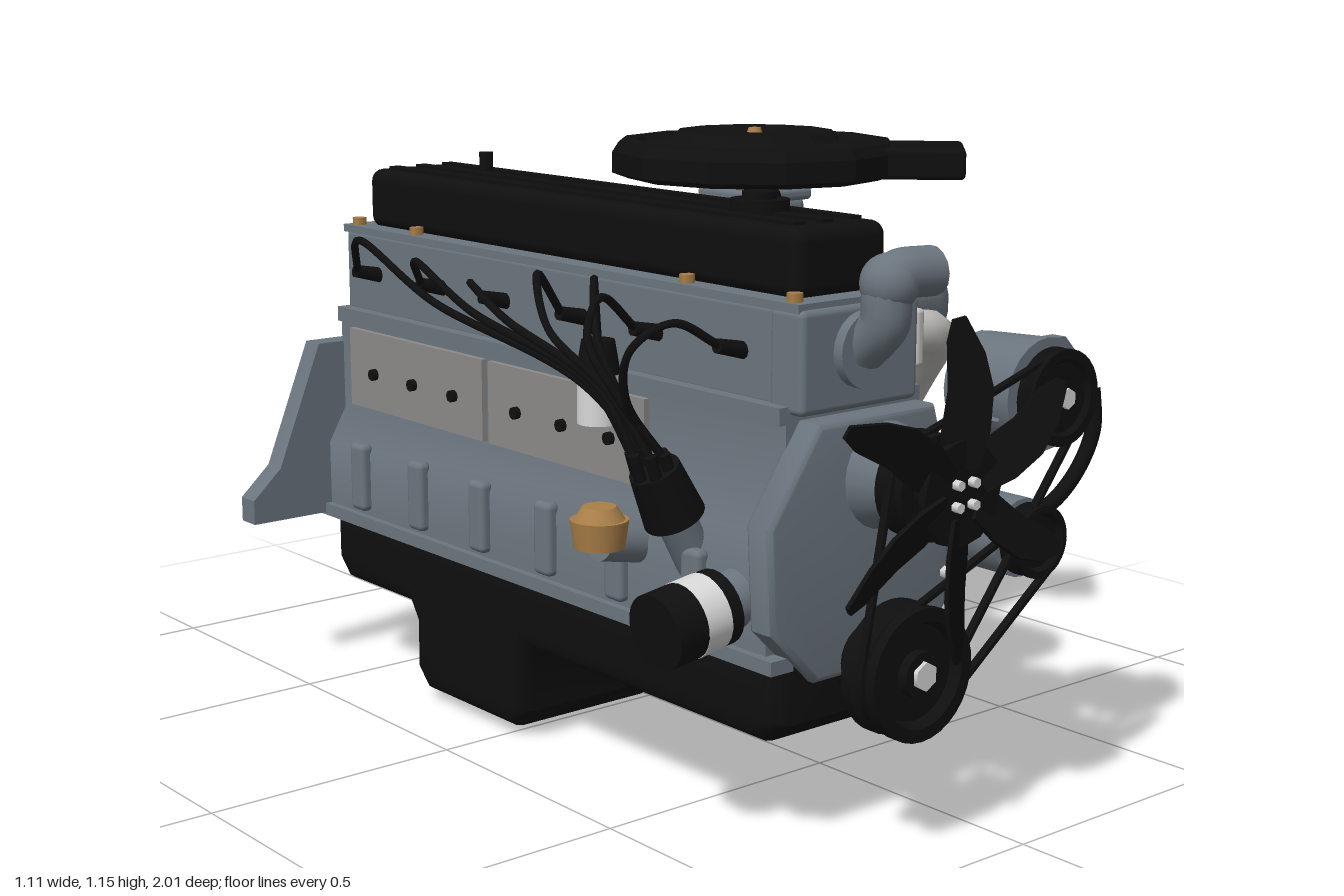
import * as THREE from 'three';
import { toCreasedNormals } from 'three/addons/utils/BufferGeometryUtils.js';
import { RoundedBoxGeometry } from 'three/addons/geometries/RoundedBoxGeometry.js';

const mat = (name, color) => Object.assign(new THREE.MeshStandardMaterial({ color }), { name });
const V = (p) => new THREE.Vector3(...p);

export function createModel() {
  const root = new THREE.Group();
  root.name = 'engine';
  const grey = mat('cast grey', 0x6b757e);
  const steel = mat('header steel', 0xbebdba);
  const panel = mat('side cover grey', 0x8d8b88);
  const black = mat('black', 0x0f0f0f);
  const brass = mat('brass', 0xaa7f48);
  const silver = mat('silver', 0xd8d8d8);

  const add = (name, geo, m, pos = [0, 0, 0], rot = [0, 0, 0]) => {
    const mesh = new THREE.Mesh(geo, m);
    mesh.name = name;
    mesh.position.set(...pos);
    mesh.rotation.set(...rot);
    root.add(mesh);
    return mesh;
  };
  // box from minimum and maximum corners
  const box = (name, m, a, b, r = 0) => {
    const s = a.map((v, i) => b[i] - v), c = a.map((v, i) => (b[i] + v) / 2);
    return add(name, r ? new RoundedBoxGeometry(...s, 3, r) : new THREE.BoxGeometry(...s), m, c);
  };
  // cylinder or cone between two points
  const rod = (name, m, a, b, r1, r2 = r1, seg = 24) => {
    const d = V(b).sub(V(a));
    const mesh = add(name, new THREE.CylinderGeometry(r2, r1, d.length(), seg), m);
    mesh.position.copy(V(a)).addScaledVector(d, 0.5);
    mesh.quaternion.setFromUnitVectors(new THREE.Vector3(0, 1, 0), d.normalize());
    return mesh;
  };
  const pipe = (name, m, pts, r, seg = 14) =>
    add(name, new THREE.TubeGeometry(new THREE.CatmullRomCurve3(pts.map(V)), 48, r, seg), m);
  // centred extrusion of an outline, optionally with an inset bevel and a hole
  const slab = (pts, depth, bevel = 0, hole) => {
    const s = new THREE.Shape(pts.map((p) => new THREE.Vector2(...p)));
    if (hole) s.holes.push(new THREE.Path(hole.map((p) => new THREE.Vector2(...p))));
    const g = new THREE.ExtrudeGeometry(s, {
      depth: depth - 2 * bevel, bevelEnabled: bevel > 0, bevelSize: bevel,
      bevelThickness: bevel, bevelOffset: -bevel, bevelSegments: 4,
    });
    g.translate(0, 0, bevel - depth / 2);
    return toCreasedNormals(g, 0.7);
  };

  // block, rear flange and front cover
  add('block', slab([[-0.37, 0.33], [0, 0.33], [0, 0.5], [-0.035, 0.56], [-0.035, 0.76], [-0.33, 0.76],
    [-0.33, 0.55], [-0.37, 0.48]], 1.36), grey, [0, 0, 0.07]);
  add('rearFlange', slab([[-0.555, 0.33], [0.18, 0.33], [0.18, 0.38], [0.12, 0.44], [0.02, 0.69],
    [-0.39, 0.69], [-0.49, 0.44], [-0.555, 0.38]], 0.05), grey, [0, 0, -0.63]);
  add('frontCover', slab([[-0.3, 0.3], [-0.06, 0.3], [0.01, 0.38], [0.02, 0.58], [-0.03, 0.74],
    [-0.3, 0.74], [-0.41, 0.58], [-0.4, 0.4]], 0.06, 0.012), grey, [0, 0, 0.77]);
  rod('rearCamPlug', brass, [-0.19, 0.59, -0.65], [-0.19, 0.59, -0.66], 0.055);
  rod('rearCrankPlug', panel, [-0.31, 0.47, -0.65], [-0.31, 0.47, -0.66], 0.045);
  for (const [x, y] of [[0.14, 0.36], [0.08, 0.48], [0.01, 0.65], [-0.38, 0.65], [-0.45, 0.48], [-0.51, 0.36]])
    rod('flangeBolt', black, [x, y, -0.65], [x, y, -0.659], 0.012, 0.012, 8);
  box('deckRail', grey, [-0.345, 0.735, -0.6], [-0.02, 0.765, 0.75]);
  box('panRail', grey, [-0.385, 0.325, -0.62], [0.012, 0.35, 0.78]);
  for (const z of [0.53, 0.09, -0.35]) {
    rod('corePlug', brass, [-0.04, 0.625, z], [-0.025, 0.625, z], 0.036);
    for (const s of [-1, 1]) box('blockRib', grey, [-0.04, 0.45, z + s * 0.1 - 0.012], [-0.01, 0.73, z + s * 0.1 + 0.012], 0.008);
    box('blockBoss', grey, [-0.04, 0.69, z - 0.1], [-0.015, 0.72, z + 0.1], 0.008);
  }
  // left side covers with bolts, lower bosses
  for (const [a, b] of [[-0.56, -0.09], [-0.07, 0.4]]) {
    box('sideCover', panel, [-0.342, 0.565, a], [-0.325, 0.725, b]);
    for (const t of [0.2, 0.5, 0.8]) {
      const z = a + (b - a) * t;
      rod('coverBolt', black, [-0.34, 0.64, z], [-0.353, 0.64, z], 0.012, 0.012, 8);
    }
  }
  for (let i = 0; i < 6; i++) box('lowerBoss', grey, [-0.39, 0.36, -0.5 + i * 0.21], [-0.36, 0.5, -0.45 + i * 0.21], 0.012);

  // cylinder head and valve cover
  box('head', grey, [-0.32, 0.755, -0.6], [-0.05, 0.925, 0.74], 0.012);
  box('headFront', grey, [-0.325, 0.75, 0.7], [-0.055, 0.925, 0.78], 0.012);
  box('coverFlange', grey, [-0.325, 0.92, -0.6], [-0.035, 0.935, 0.77]);
  for (const x of [-0.305, -0.065]) for (const z of [0.74, 0.47, -0.36, -0.57])
    rod('headBolt', brass, [x, 0.93, z], [x, 0.95, z], 0.014, 0.014, 6);
  box('valveCover', black, [-0.29, 0.93, -0.56], [-0.08, 1.05, 0.73], 0.025);
  for (const x of [-0.25, -0.185, -0.12]) box('valveCoverRib', black, [x - 0.012, 1.04, -0.52], [x + 0.012, 1.056, 0.69]);
  rod('fillerCap', black, [-0.185, 1.04, 0.52], [-0.185, 1.075, 0.52], 0.052);
  rod('fillerKnob', black, [-0.185, 1.07, 0.52], [-0.185, 1.088, 0.52], 0.03);
  rod('breatherValve', black, [-0.14, 1.04, -0.35], [-0.14, 1.09, -0.35], 0.014);
  pipe('breatherHose', black, [[-0.12, 0.99, 0.3], [-0.05, 1.0, 0.3], [0.03, 1.02, 0.28], [0.14, 1.03, 0.2]], 0.016);

  // oil pan with deep sump, outline given as z and y
  const pan = slab([[0.78, 0.34], [-0.6, 0.34], [-0.6, 0.23], [-0.56, 0.19], [-0.33, 0.19], [-0.31, 0.16],
    [-0.31, 0.06], [-0.27, 0.02], [0.02, 0.02], [0.06, 0.06], [0.06, 0.16], [0.08, 0.19], [0.73, 0.19], [0.78, 0.23]], 0.365, 0.035);
  add('oilPan', pan, black, [-0.187, 0, 0], [0, -Math.PI / 2, 0]);

  // intake manifold: one long log with three runners, outline given as x and z
  const log = slab([[-0.06, -0.43], [0.16, -0.43], [0.23, -0.4], [0.275, -0.33], [0.28, 0.5], [0.25, 0.56], [0.19, 0.595],
    [-0.06, 0.595], [-0.06, 0.45], [0.08, 0.45], [0.12, 0.41], [0.12, 0.15], [-0.06, 0.15], [-0.06, 0.01],
    [0.12, 0.01], [0.12, -0.25], [0.08, -0.29], [-0.06, -0.29]], 0.1, 0.035);
  add('intakeManifold', log, grey, [0, 0.855, 0], [Math.PI / 2, 0, 0]);
  rod('carburettorBase', grey, [0.195, 0.83, 0.09], [0.195, 0.94, 0.09], 0.09, 0.075);

  // carburettor
  box('carburettorFlange', grey, [0.11, 0.925, 0], [0.28, 0.945, 0.18], 0.008);
  box('carburettorBody', grey, [0.125, 0.94, 0.02], [0.265, 1.02, 0.165], 0.02);
  box('carburettorTop', grey, [0.11, 1.01, 0.01], [0.275, 1.035, 0.17], 0.01);
  rod('airHorn', grey, [0.195, 1.03, 0.09], [0.195, 1.07, 0.09], 0.07);
  rod('throttleShaft', black, [0.25, 0.955, 0.09], [0.305, 0.955, 0.09], 0.012);
  for (const s of [-1, 1]) rod('floatBowl', grey, [0.195 + s * 0.04, 0.96, 0.15], [0.195 + s * 0.04, 0.96, 0.185], 0.03);
  rod('fuelFitting', brass, [0.195, 0.98, 0.16], [0.195, 0.98, 0.185], 0.013, 0.013, 6);

  // air cleaner with snorkel
  const profile = [[0, 1.05], [0.25, 1.053], [0.283, 1.065], [0.283, 1.105], [0.27, 1.125], [0.235, 1.128],
    [0.225, 1.12], [0.17, 1.128], [0.155, 1.143], [0.05, 1.143], [0.03, 1.136], [0, 1.136]];
  add('airCleaner', toCreasedNormals(new THREE.LatheGeometry(profile.map((p) => new THREE.Vector2(...p)), 12), 0.3),
    black, [0.2, 0, 0.08]);
  add('airCleanerSnorkel', new RoundedBoxGeometry(0.21, 0.06, 0.19, 2, 0.01), black, [0.415, 1.088, 0.295], [0, -Math.PI / 4, 0]);
  rod('wingNut', brass, [0.2, 1.13, 0.08], [0.2, 1.149, 0.08], 0.018, 0.012, 8);

  // exhaust headers: three tubes into each collector
  const inner = (z, d) => [[-0.05, 0.78, z], [0.08, 0.78, z], [0.15, 0.72, z], [0.165, 0.6, z - 0.01], [0.185, 0.5, z - 0.11], [0.28, 0.18, d]];
  const outer = (z, d) => [[-0.05, 0.78, z], [0.12, 0.78, z], [0.2, 0.72, z], [0.215, 0.61, z - 0.02], [0.23, 0.515, z - 0.12], [0.29, 0.2, d]];
  const tubes = [
    [[-0.05, 0.85, 0.72], [0.05, 0.84, 0.71], [0.11, 0.76, 0.62], [0.14, 0.58, 0.46], [0.17, 0.46, 0.24], [0.27, 0.17, -0.33]],
    inner(0.34, -0.35), outer(0.26, -0.36), inner(-0.1, -0.78), outer(-0.17, -0.8),
    [[-0.05, 0.85, -0.53], [0.16, 0.85, -0.53], [0.24, 0.81, -0.53], [0.255, 0.62, -0.5], [0.26, 0.42, -0.49], [0.27, 0.32, -0.55], [0.29, 0.19, -0.76]],
  ];
  for (const t of tubes) {
    pipe('headerTube', steel, t, 0.039);
    const [, y, z] = t[0];
    box('headerFlange', steel, [-0.05, y - 0.05, z - 0.05], [-0.03, y + 0.05, z + 0.05], 0.008);
  }
  for (const d of [0, -0.455]) {
    rod('collector', steel, [0.272, 0.2, -0.28 + d], [0.3, 0.1, -0.44 + d], 0.058, 0.064);
    rod('collectorCone', steel, [0.3, 0.1, -0.44 + d], [0.313, 0.055, -0.505 + d], 0.064, 0.04);
    rod('collectorOutlet', steel, [0.313, 0.055, -0.505 + d], [0.318, 0.037, -0.535 + d], 0.04);
    rod('outletOpening', black, [0.318, 0.037, -0.535 + d], [0.3185, 0.0355, -0.537 + d], 0.034);
  }

  // thermostat housing and water pump
  rod('thermostatBase', grey, [-0.19, 0.85, 0.77], [-0.19, 0.85, 0.8], 0.065);
  pipe('thermostatNeck', grey, [[-0.19, 0.85, 0.78], [-0.19, 0.9, 0.83], [-0.19, 0.95, 0.835], [-0.18, 0.975, 0.84], [-0.1, 0.98, 0.85]], 0.042);
  add('thermostatDome', new THREE.SphereGeometry(0.05, 20, 14), grey, [-0.185, 0.965, 0.835]);
  rod('waterPump', grey, [-0.15, 0.635, 0.78], [-0.15, 0.635, 0.86], 0.1, 0.07);

  // pulleys with grooved rims
  const pulley = (name, x, y, z, r, w) => {
    const p = [[0, -w / 2], [r, -w / 2], [r, -w / 4], [r * 0.88, 0], [r, w / 4], [r, w / 2], [r * 0.8, w / 2], [r * 0.72, w / 4], [0, w / 4]];
    const g = new THREE.LatheGeometry(p.map((q) => new THREE.Vector2(...q)), 32);
    add(name, toCreasedNormals(g, 0.5), black, [x, y, z], [Math.PI / 2, 0, 0]);
    rod(name + 'Hub', black, [x, y, z], [x, y, z + w / 2], r * 0.35);
    rod(name + 'Nut', silver, [x, y, z + w / 2], [x, y, z + w / 2 + 0.008], r * 0.22, r * 0.22, 6);
  };
  rod('crankNose', black, [-0.185, 0.325, 0.78], [-0.185, 0.325, 0.9], 0.06);
  pulley('crankPulley', -0.185, 0.325, 0.895, 0.115, 0.075);
  pulley('pumpPulley', -0.15, 0.635, 0.895, 0.09, 0.06);
  pulley('alternatorPulley', 0.175, 0.74, 0.89, 0.085, 0.035);
  pulley('idlerPulley', 0.12, 0.495, 0.895, 0.064, 0.04);

  // alternator, idler pump and brackets
  rod('alternator', grey, [0.175, 0.74, 0.71], [0.175, 0.74, 0.865], 0.092, 0.1);
  rod('alternatorBack', grey, [0.175, 0.74, 0.69], [0.175, 0.74, 0.71], 0.06, 0.085);
  rod('alternatorEar', grey, [0.31, 0.735, 0.8], [0.31, 0.735, 0.85], 0.02);
  add('alternatorMount', slab([[0.08, 0.7], [0.16, 0.83], [0.25, 0.83], [0.33, 0.75], [0.33, 0.72], [0.2, 0.65]], 0.03), grey, [0, 0, 0.825]);
  rod('idlerBody', grey, [0.12, 0.495, 0.75], [0.12, 0.495, 0.87], 0.07);
  add('accessoryBracket', slab([[-0.05, 0.62], [-0.02, 0.42], [0.02, 0.41], [0.16, 0.46], [0.12, 0.55], [0.14, 0.68], [0.08, 0.7]], 0.025), grey, [0, 0, 0.785]);
  pipe('tensionArm', black, [[0.31, 0.735, 0.855], [0.31, 0.66, 0.86], [0.27, 0.59, 0.86], [0.2, 0.54, 0.86], [0.12, 0.53, 0.86]], 0.014, 8);
  for (const [x, y] of [[-0.04, 0.63], [0, 0.54], [0, 0.44]]) rod('bracketBolt', silver, [x, y, 0.795], [x, y, 0.812], 0.011, 0.011, 6);

  // belts: outline around circles given counterclockwise as [x, y, radius]
  const hull = (circles) => {
    const n = circles.length;
    const ang = circles.map(([x, y, r], i) => {
      const [u, v, q] = circles[(i + 1) % n];
      return Math.atan2(v - y, u - x) - Math.acos((r - q) / Math.hypot(u - x, v - y));
    });
    return circles.flatMap(([x, y, r], i) => {
      const a = ang[(i + n - 1) % n];
      const sweep = (((ang[i] - a) % (2 * Math.PI)) + 2 * Math.PI) % (2 * Math.PI);
      return Array.from({ length: 17 }, (_, k) => [x + r * Math.cos(a + sweep * k / 16), y + r * Math.sin(a + sweep * k / 16)]);
    });
  };
  const belt = (c, z) => add('belt', slab(hull(c), 0.014, 0, hull(c.map(([x, y, r]) => [x, y, r - 0.008]))), black, [0, 0, z]);
  belt([[-0.185, 0.325, 0.107], [0.175, 0.74, 0.08], [-0.15, 0.635, 0.085]], 0.89);
  belt([[-0.185, 0.325, 0.107], [0.12, 0.495, 0.06]], 0.91);

  // fan: six swept, pitched blades
  const fx = -0.15, fy = 0.635;
  rod('fanShaft', black, [fx, fy, 0.9], [fx, fy, 0.975], 0.045);
  rod('fanHub', black, [fx, fy, 0.962], [fx, fy, 0.976], 0.09, 0.09, 12);
  const blade = slab([[0.04, -0.03], [0.1, -0.048], [0.17, -0.052], [0.23, -0.035], [0.29, 0.0], [0.285, 0.022],
    [0.25, 0.03], [0.17, 0.026], [0.1, 0.036], [0.04, 0.03]], 0.007);
  blade.rotateX(-0.4);
  for (let i = 0; i < 6; i++) {
    add('fanBlade', blade, black, [fx, fy, 0.97], [0, 0, Math.PI / 2 + i * Math.PI / 3]);
  }
  for (let i = 0; i < 4; i++) {
    const a = Math.PI / 4 + i * Math.PI / 2, x = fx + 0.026 * Math.cos(a), y = fy + 0.026 * Math.sin(a);
    rod('fanBolt', silver, [x, y, 0.975], [x, y, 0.99], 0.009, 0.009, 6);
  }

  // distributor, plug boots and leads
  rod('distributorBody', grey, [-0.33, 0.44, 0.54], [-0.4, 0.57, 0.54], 0.035);
  rod('distributorCap', black, [-0.39, 0.55, 0.54], [-0.435, 0.64, 0.54], 0.055, 0.045);
  [0.63, 0.41, 0.2, -0.04, -0.25, -0.48].forEach((z, i) => {
    const a = i * Math.PI / 3, x = -0.44 + 0.03 * Math.cos(a), s = 0.54 + 0.03 * Math.sin(a);
    rod('leadTower', black, [x + 0.01, 0.61, s], [x - 0.01, 0.67, s], 0.011, 0.011, 8);
    rod('plugBoot', black, [-0.31, 0.84, z], [-0.375, 0.855, z], 0.016, 0.013, 10);
    const m = 0.54 + (z - 0.54) * 0.55;
    pipe('plugLead', black, [[x, 0.65, s], [-0.505 + i * 0.004, 0.77, 0.54 + (z - 0.54) * 0.12], [-0.525 + i * 0.006, 0.86, m],
      [-0.46, 0.9 + (i % 3) * 0.02, z + (0.54 - z) * 0.15], [-0.37, 0.855, z]], 0.0075, 6);
  });
  pipe('coilLead', black, [[-0.44, 0.65, 0.54], [-0.49, 0.85, 0.46], [-0.42, 0.94, 0.36], [-0.365, 0.82, 0.3]], 0.0075, 6);

  // ignition coil, fuel pump and oil filter
  rod('coil', silver, [-0.365, 0.67, 0.3], [-0.365, 0.76, 0.3], 0.038);
  rod('coilCap', black, [-0.365, 0.76, 0.3], [-0.365, 0.82, 0.3], 0.04, 0.03);
  rod('fuelPumpArm', grey, [-0.35, 0.47, 0.41], [-0.45, 0.49, 0.41], 0.035);
  rod('fuelPump', brass, [-0.45, 0.48, 0.41], [-0.45, 0.53, 0.41], 0.045, 0.052);
  rod('fuelPumpCap', brass, [-0.45, 0.53, 0.41], [-0.45, 0.553, 0.41], 0.045, 0.03);
  rod('oilFilterMount', grey, [-0.33, 0.44, 0.67], [-0.42, 0.42, 0.67], 0.05);
  rod('oilFilter', black, [-0.405, 0.425, 0.67], [-0.54, 0.405, 0.67], 0.066);
  rod('oilFilterBand', silver, [-0.43, 0.4213, 0.67], [-0.48, 0.4139, 0.67], 0.067).scale.set(1, 1, 1);
  return root;
}
